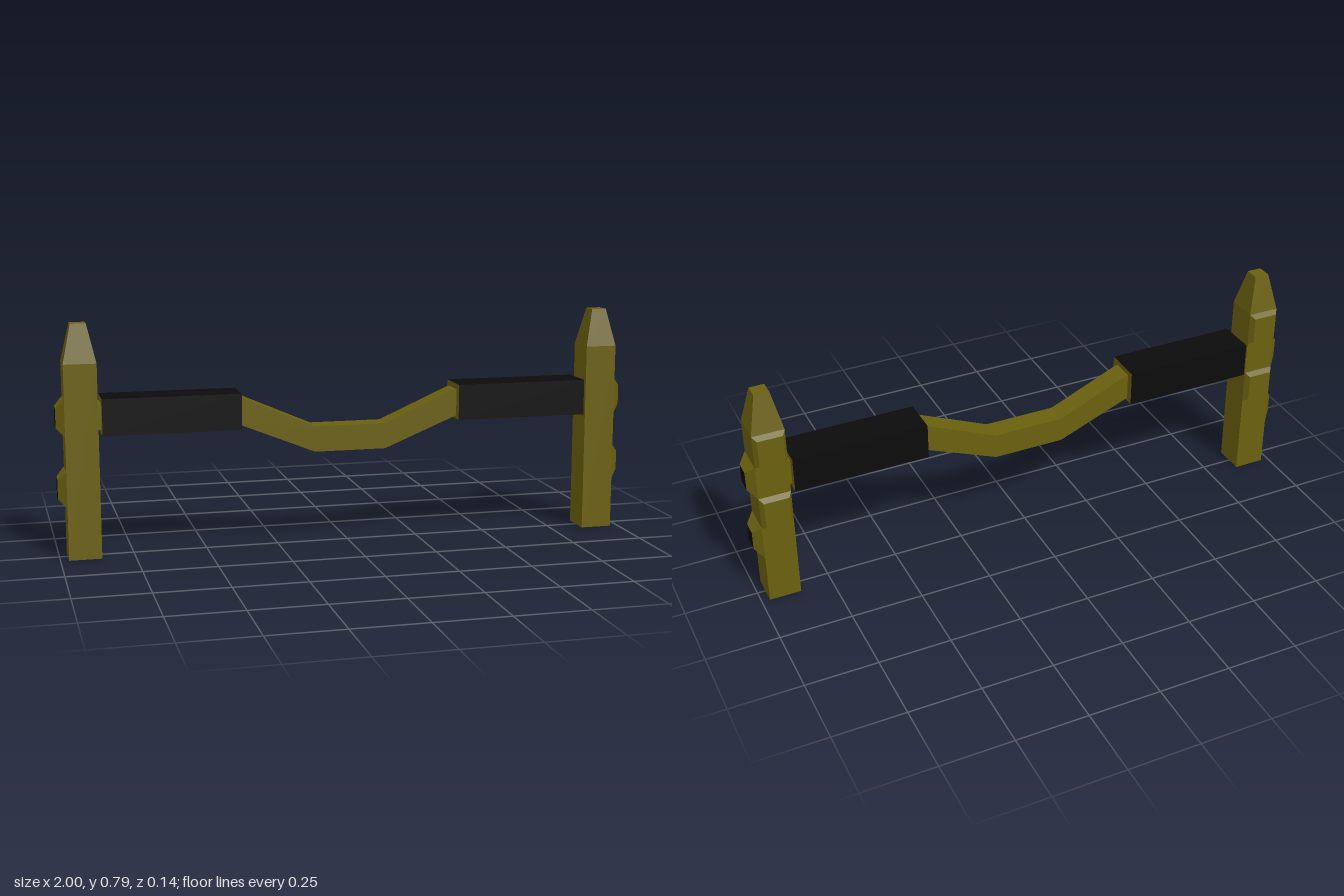
import * as THREE from 'three';

const olive = new THREE.MeshStandardMaterial({ color: 0x6b600f, flatShading: true });
const black = new THREE.MeshStandardMaterial({ color: 0x0b0b0b, flatShading: true });
const Z = 0.003; // shared depth centre of posts and bar

// Box standing on y = 0 whose top is scaled to a smaller rectangle
function frustum(w, h, d, topW, topD) {
  const geo = new THREE.BoxGeometry(w, h, d).translate(0, h / 2, 0);
  const p = geo.attributes.position;
  for (let i = 0; i < p.count; i++) {
    if (p.getY(i) > h / 2) p.setXYZ(i, p.getX(i) * topW / w, h, p.getZ(i) * topD / d);
  }
  geo.computeVertexNormals();
  return geo;
}

function add(parent, name, geo, material, x, y, z) {
  const mesh = new THREE.Mesh(geo, material);
  mesh.name = name;
  mesh.position.set(x, y, z);
  parent.add(mesh);
  return mesh;
}

// Upright post with pointed top, outer studs and back studs; side is +1 or -1
function createPost(side) {
  const post = new THREE.Group();
  post.name = side > 0 ? 'leftPost' : 'rightPost';
  const x = side * 0.917;
  add(post, 'shaft', new THREE.BoxGeometry(0.11, 0.66, 0.11), olive, x, 0.33, Z);
  add(post, 'tip', frustum(0.11, 0.13, 0.11, 0.052, 0.052), olive, x, 0.66, Z);
  // Outer studs with black ends
  for (const y of [0.239, 0.479]) {
    const stud = add(post, 'outerStud', frustum(0.122, 0.028, 0.11, 0.066, 0.054),
      [olive, olive, black, olive, olive, olive], side * 0.972, y, Z);
    stud.rotation.z = -side * Math.PI / 2;
  }
  // Shallow studs on the back
  for (const y of [0.359, 0.6]) {
    const stud = add(post, 'backStud', frustum(0.11, 0.018, 0.119, 0.086, 0.095),
      olive, x, y, Z - 0.055);
    stud.rotation.x = -Math.PI / 2;
  }
  return post;
}

export function createModel() {
  const model = new THREE.Group();
  model.name = 'handlebar';

  // Bar with a dropped middle, extruded through its depth
  const upper = [[0.87, 0.524], [0.375, 0.524], [0.125, 0.415]];
  const lower = [[0.125, 0.326], [0.395, 0.436], [0.87, 0.436]];
  const half = [...upper, ...lower];
  const outline = [
    ...upper.map(([x, y]) => [-x, y]),
    ...upper.slice().reverse(),
    ...half.slice(3).reverse(),
    ...lower.map(([x, y]) => [-x, y]),
  ].map(([x, y]) => new THREE.Vector2(x, y));
  const barGeo = new THREE.ExtrudeGeometry(new THREE.Shape(outline), { depth: 0.078, bevelEnabled: false });
  add(model, 'bar', barGeo, olive, 0, 0, Z - 0.039);

  for (const side of [1, -1]) {
    model.add(createPost(side));
    // Black grip with plain ends
    add(model, side > 0 ? 'leftGrip' : 'rightGrip', new THREE.BoxGeometry(0.467, 0.124, 0.133),
      [olive, olive, black, black, black, black], side * 0.617, 0.481, 0.004);
  }
  return model;
}
